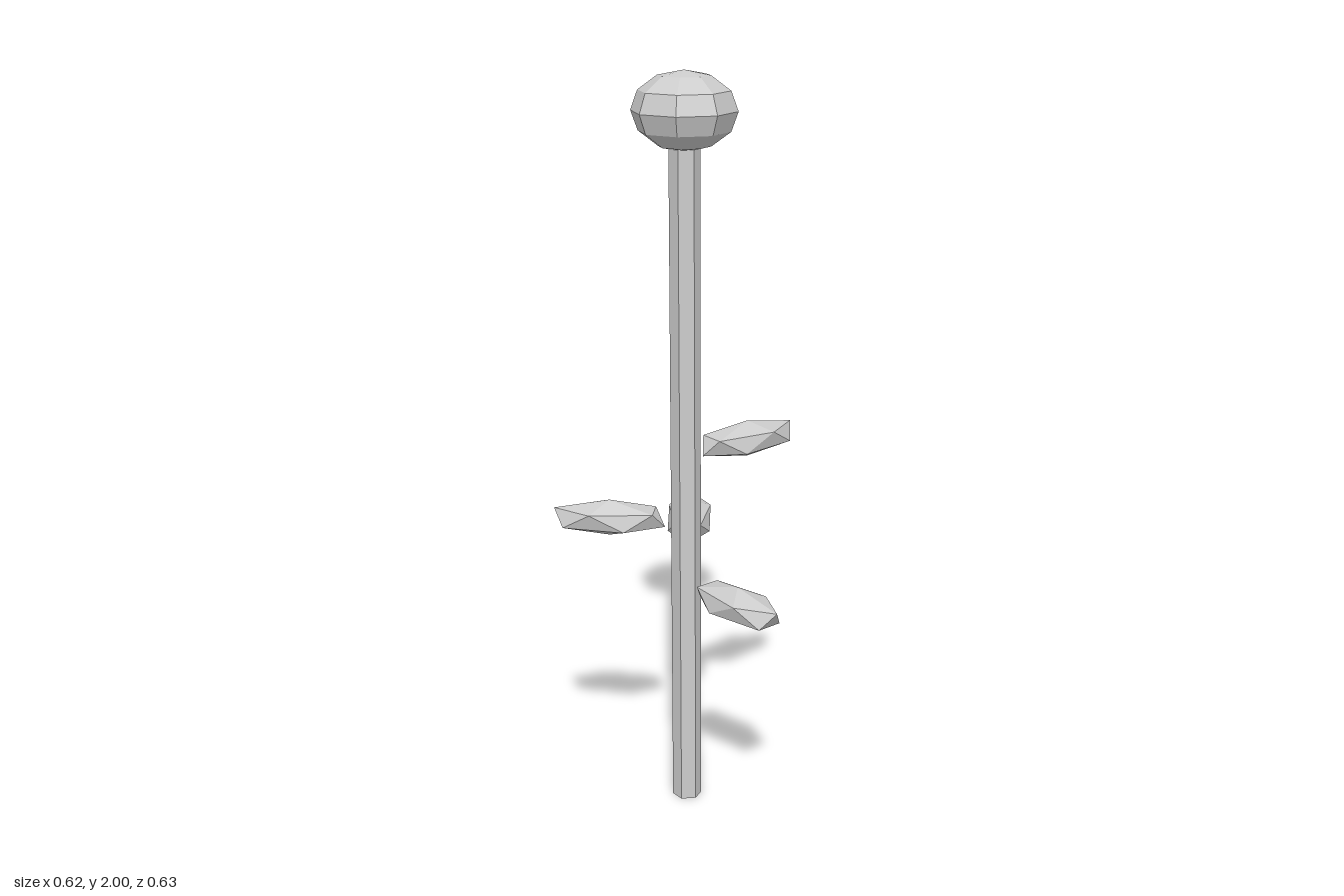
import * as THREE from 'three';

const CENTER_X = -0.047;
const CENTER_Z = -0.041;

export function createModel() {
  const model = new THREE.Group();
  model.name = 'flower';
  const material = new THREE.MeshStandardMaterial({ color: 0xcccccc, flatShading: true });

  // Everything grows around the stem axis
  const plant = new THREE.Group();
  plant.name = 'plant';
  plant.position.set(CENTER_X, 0, CENTER_Z);
  model.add(plant);

  const add = (name, geometry, parent = plant) => {
    const mesh = new THREE.Mesh(geometry, material);
    mesh.name = name;
    parent.add(mesh);
    return mesh;
  };

  // Six-sided stem, ending inside the head
  const stemHeight = 1.83;
  add('stem', new THREE.CylinderGeometry(0.04, 0.04, stemHeight, 6)).position.y = stemHeight / 2;

  // Flattened low-poly flower head
  add('flowerHead', new THREE.SphereGeometry(0.136, 8, 6).scale(1, 0.1 / 0.136, 1)).position.y = 1.9;

  // Leaf: stretched icosahedron with a pole on top and its upper tip pointing along +x
  const golden = (1 + Math.sqrt(5)) / 2;
  const leafGeometry = new THREE.IcosahedronGeometry(1, 0)
    .rotateZ(-Math.atan(1 / golden))
    .scale(0.168, 0.05, 0.0685);

  // Leaves spiral round the stem by a constant turn
  [1.01, 0.82, 0.64, 0.75].forEach((height, i) => {
    const pivot = new THREE.Group();
    pivot.name = `leafPivot${i + 1}`;
    pivot.position.y = height;
    pivot.rotation.y = i * THREE.MathUtils.degToRad(137);
    add(`leaf${i + 1}`, leafGeometry, pivot).position.x = 0.207;
    plant.add(pivot);
  });

  return model;
}
